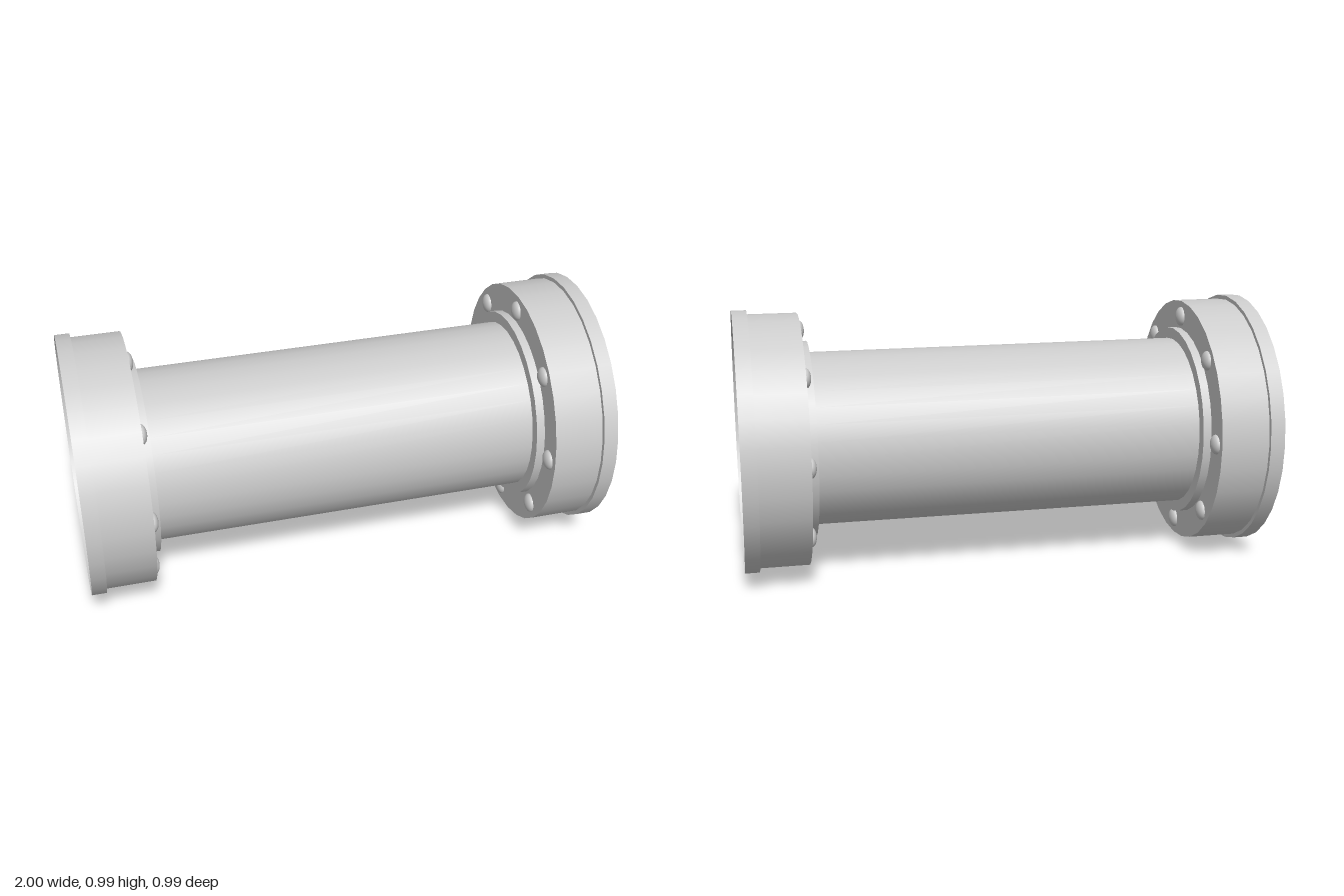
import * as THREE from 'three';
import { mergeGeometries } from 'three/addons/utils/BufferGeometryUtils.js';

const material = new THREE.MeshStandardMaterial({ color: 0xcccccc, side: THREE.DoubleSide });
const CENTRE_Y = 0.4965;

// Revolve [radius, axial] points, each section separately so its edges stay sharp
function revolve(points, segments = 32) {
  const sections = [];
  for (let i = 0; i < points.length - 1; i++) {
    const pair = [points[i], points[i + 1]].map(([r, a]) => new THREE.Vector2(r, a));
    sections.push(new THREE.LatheGeometry(pair, segments));
  }
  return mergeGeometries(sections);
}

function addMesh(parent, name, geometry) {
  const mesh = new THREE.Mesh(geometry, material);
  mesh.name = name;
  parent.add(mesh);
  return mesh;
}

// Low domed rivet with a flat back, dome pointing along +y
function rivetGeometry() {
  const points = [new THREE.Vector2(0, -0.004), new THREE.Vector2(0.038, -0.004)];
  const back = new THREE.LatheGeometry(points, 16);
  const side = new THREE.LatheGeometry([points[1], new THREE.Vector2(0.038, 0)], 16);
  const dome = [];
  for (let i = 0; i <= 6; i++) {
    const t = (i / 6) * Math.PI / 2;
    dome.push(new THREE.Vector2(0.038 * Math.cos(t), 0.021 * Math.sin(t)));
  }
  return mergeGeometries([back, side, new THREE.LatheGeometry(dome, 16)]);
}

// End socket along +y: collar, flange face, sleeve and raised lip
function createSocket(rivet) {
  const socket = new THREE.Group();
  addMesh(socket, 'collar', revolve([[0.33, 0.725], [0.373, 0.725], [0.373, 0.757]]));
  addMesh(socket, 'flangeFace', revolve([[0.373, 0.757], [0.481, 0.757]]));
  addMesh(socket, 'sleeve', revolve([[0.481, 0.757], [0.481, 0.944]]));
  addMesh(socket, 'lip', revolve([[0.481, 0.944], [0.4965, 0.944], [0.4965, 1]]));

  // Eight rivets around the flange, facing the pipe
  for (let i = 0; i < 8; i++) {
    const a = (i / 8) * Math.PI * 2;
    const mesh = addMesh(socket, 'rivet', rivet);
    mesh.position.set(Math.cos(a) * 0.42, 0.757, Math.sin(a) * 0.42);
    mesh.rotation.x = Math.PI;
  }
  return socket;
}

export function createModel() {
  const model = new THREE.Group();
  model.name = 'flangedPipe';

  // Open pipe between the sockets
  const pipe = addMesh(model, 'pipe', revolve([[0.33, -0.725], [0.33, 0.725]]));
  pipe.rotation.z = -Math.PI / 2;
  pipe.position.y = CENTRE_Y;

  const rivet = rivetGeometry();
  for (const side of [1, -1]) {
    const socket = createSocket(rivet);
    socket.name = side > 0 ? 'leftSocket' : 'rightSocket';
    socket.rotation.z = -side * Math.PI / 2;
    socket.position.y = CENTRE_Y;
    model.add(socket);
  }
  return model;
}
